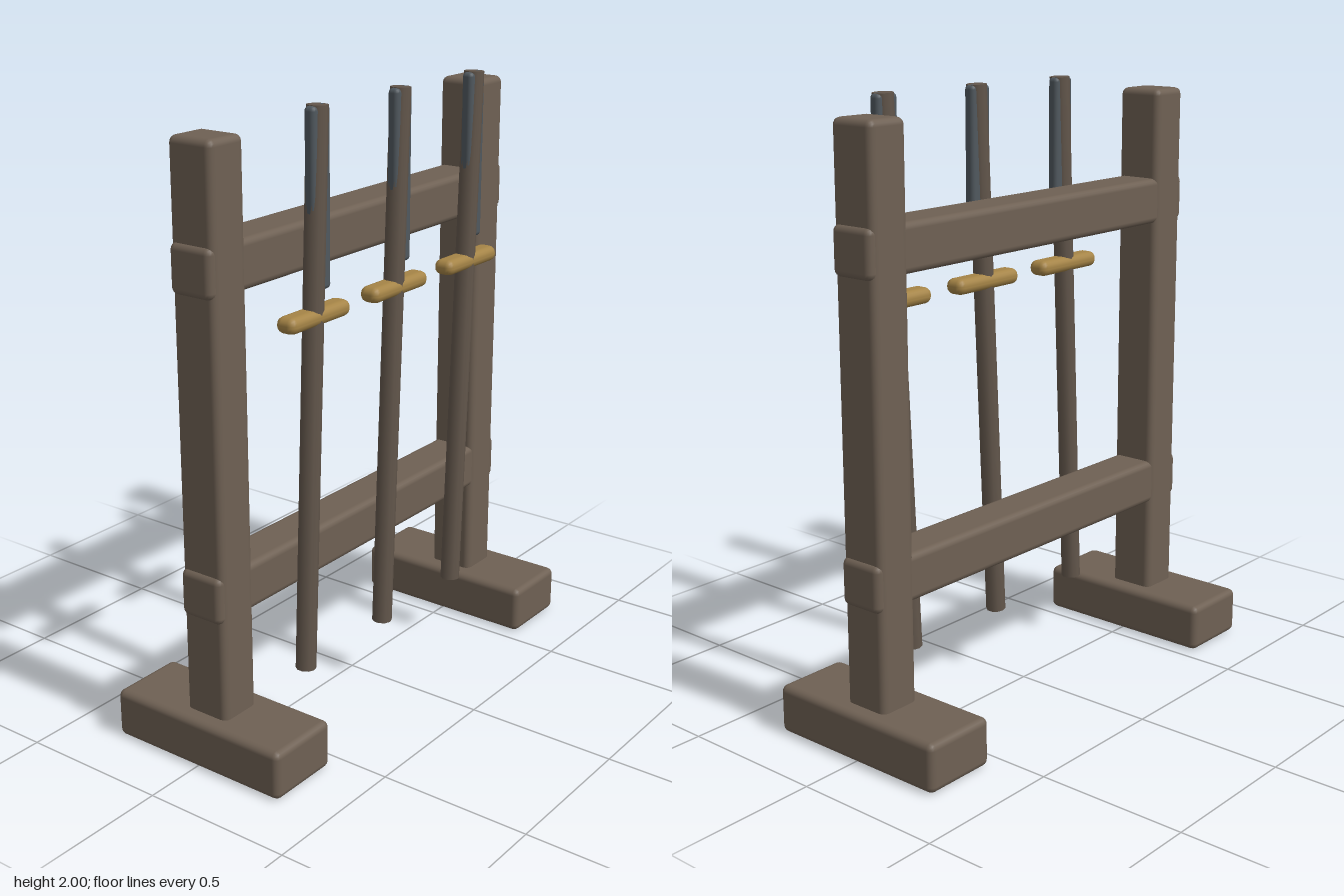
import * as THREE from 'three';
import { RoundedBoxGeometry } from 'three/addons/geometries/RoundedBoxGeometry.js';

const material = (color) => new THREE.MeshStandardMaterial({ color });

export function createModel() {
  const model = new THREE.Group();
  model.name = 'weaponRack';
  const wood = material(0x6e6053);
  const shaftWood = material(0x62564b);
  const steel = material(0x50585e);
  const brass = material(0xa58446);

  const block = (name, parent, mat, size, pos, radius) => {
    const mesh = new THREE.Mesh(new RoundedBoxGeometry(...size, 2, radius), mat);
    mesh.name = name;
    mesh.position.set(...pos);
    parent.add(mesh);
    return mesh;
  };

  // Frame: a foot and a post on each side
  const frame = new THREE.Group();
  frame.name = 'frame';
  model.add(frame);
  for (const [side, s] of [['left', 1], ['right', -1]]) {
    block(side + 'Foot', frame, wood, [0.258, 0.16, 0.654], [s * 0.677, 0.084, 0], 0.022);
    block(side + 'Post', frame, wood, [0.145, 1.83, 0.16], [s * 0.677, 1.035, 0], 0.022);
  }

  // Rails run through both posts
  block('upperRail', frame, wood, [1.525, 0.154, 0.155], [0, 1.573, 0], 0.022);
  block('lowerRail', frame, wood, [1.525, 0.154, 0.155], [0, 0.565, 0], 0.022);

  // Three leaning weapons: tilted shaft, upright blade, crossguard
  const tilt = 0.045;
  for (let i = 0; i < 3; i++) {
    const weapon = new THREE.Group();
    weapon.name = 'weapon' + (i + 1);
    weapon.position.set((i - 1) * 0.4125, 0, 0.127);
    model.add(weapon);

    const shaft = new THREE.Mesh(new THREE.CylinderGeometry(0.033, 0.033, 1.779, 10), shaftWood);
    shaft.name = 'shaft';
    shaft.position.set(0.038, 1.11, 0);
    shaft.rotation.z = -tilt;
    weapon.add(shaft);

    block('blade', weapon, steel, [0.085, 0.55, 0.04], [0.075, 1.723, 0], 0.015);
    block('crossguard', weapon, brass, [0.29, 0.052, 0.072], [0.056, 1.372, -0.002], 0.024);
  }
  return model;
}
